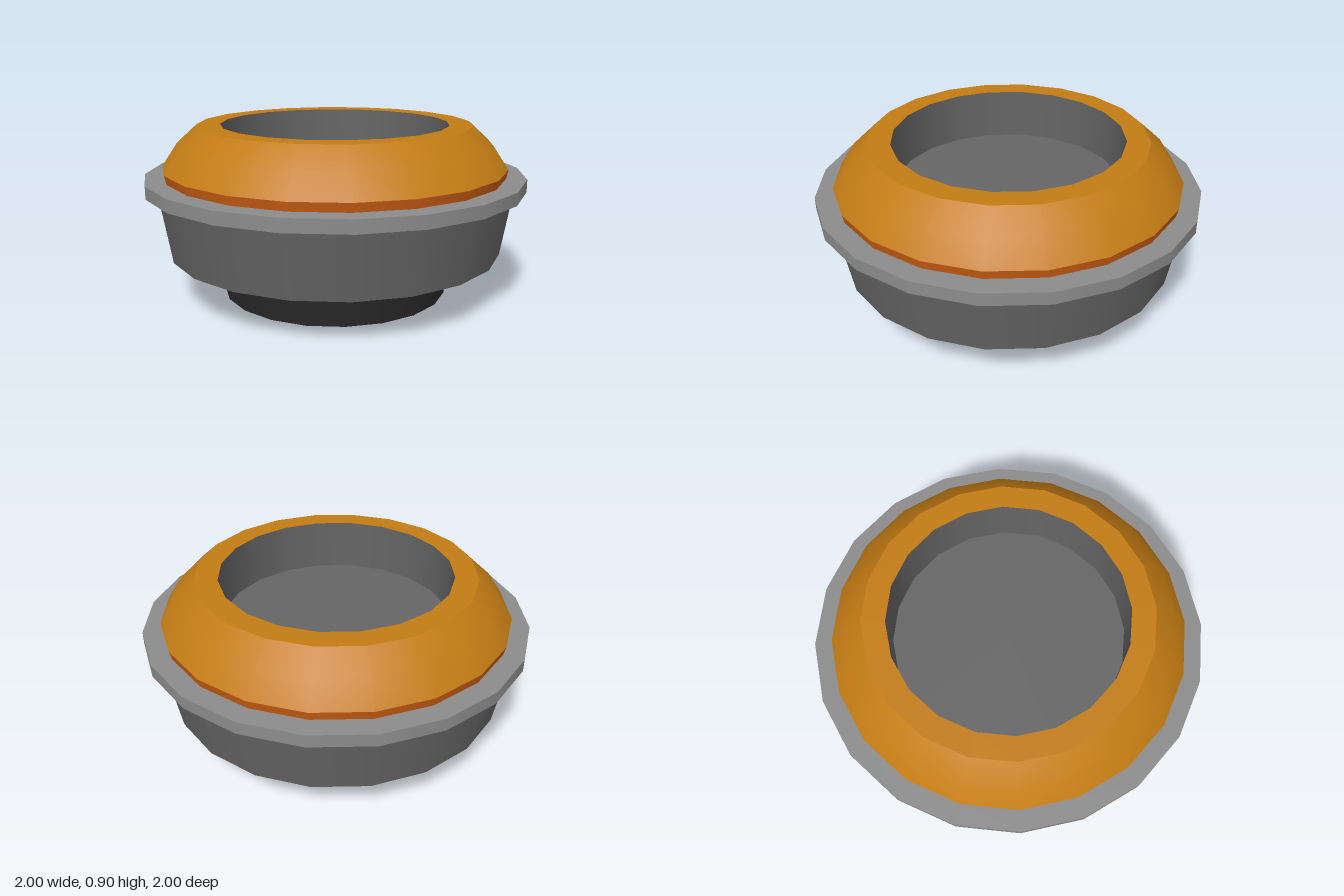
import * as THREE from 'three';

const SIDES = 20;

const material = (color) => new THREE.MeshStandardMaterial({ color, side: THREE.DoubleSide });

// Each band is a separate lathe, smooth along its own profile and sharp against its neighbours.
function addPart(group, name, mat, bands) {
  const part = new THREE.Group();
  part.name = name;
  bands.forEach((band, i) => {
    const points = band.map(([r, y]) => new THREE.Vector2(r, y));
    const mesh = new THREE.Mesh(new THREE.LatheGeometry(points, SIDES), mat);
    mesh.name = `${name}Band${i + 1}`;
    part.add(mesh);
  });
  group.add(part);
}

export function createModel() {
  const group = new THREE.Group();
  group.name = 'roundFixture';
  const bodyGrey = material(0x666666);

  // Open black tube at the bottom
  addPart(group, 'baseTube', material(0x262626), [[[0.6, 0], [0.6, 0.235]]]);

  // Flared body with an annular underside
  addPart(group, 'body', bodyGrey, [
    [[0.6, 0.235], [0.88, 0.235]],
    [[0.88, 0.235], [0.937, 0.575]],
  ]);

  // Protruding flange, hollow inside
  addPart(group, 'flange', material(0x8c8c8c), [
    [[0.937, 0.575], [1, 0.575]],
    [[1, 0.575], [1, 0.64]],
    [[1, 0.64], [0.895, 0.64]],
  ]);

  // Narrow orange band below the dome
  addPart(group, 'orangeBand', material(0xcc5f14), [[[0.895, 0.64], [0.905, 0.685]]]);

  // Amber shoulder and flat top ring
  addPart(group, 'amberRing', material(0xc47c14), [
    [[0.905, 0.685], [0.825, 0.805], [0.72, 0.9]],
    [[0.72, 0.9], [0.6, 0.9]],
  ]);

  // Recessed cup in the top
  addPart(group, 'recess', bodyGrey, [
    [[0.6, 0.9], [0.6, 0.63]],
    [[0.6, 0.63], [0, 0.63]],
  ]);

  return group;
}
